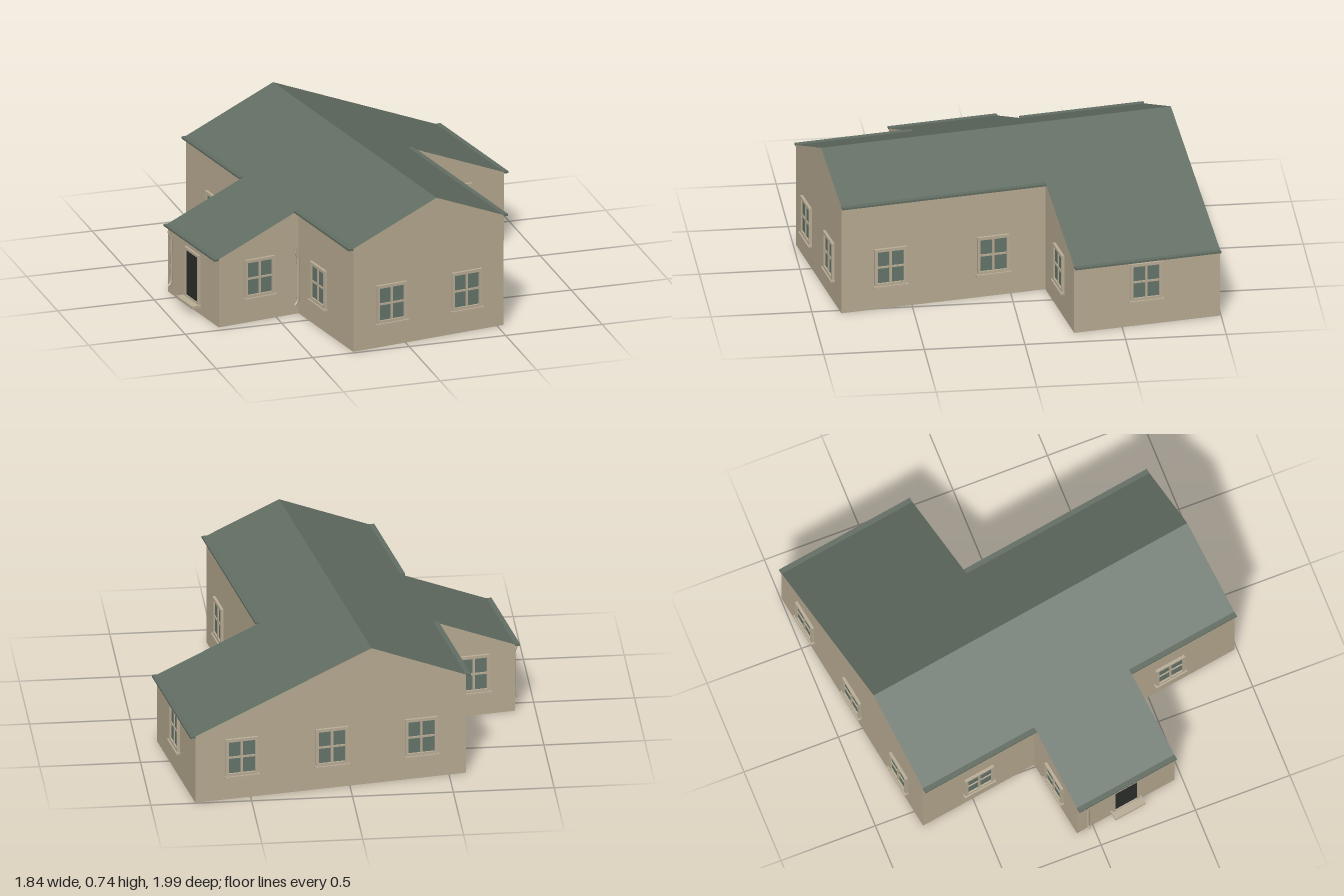
import * as THREE from 'three';

const mat = (name, color, side = THREE.FrontSide) => {
  const m = new THREE.MeshStandardMaterial({ color, side });
  m.name = name;
  return m;
};

// Plan and roof constants, in the house's own axes
const RIDGE_X = 0.025, RIDGE_Y = 0.735, SLOPE = 0.417;
const FRONT = 0.93, BACK = -0.862;
const roofY = (x) => RIDGE_Y - Math.abs(x - RIDGE_X) * SLOPE;

// Geometry from a list of four-cornered faces
function quads(faces) {
  const pos = faces.flatMap(([a, b, c, d]) => [a, b, c, a, c, d].flat());
  const g = new THREE.BufferGeometry();
  g.setAttribute('position', new THREE.Float32BufferAttribute(pos, 3));
  g.computeVertexNormals();
  return g;
}

export function createModel() {
  const wallMat = mat('wall plaster', 0xb8ab92, THREE.DoubleSide);
  const roofMat = mat('roof green', 0x626e63, THREE.DoubleSide);
  const trimMat = mat('trim beige', 0xbaae96);
  const glassMat = mat('window glass', 0x66766c);
  const doorMat = mat('door dark', 0x2c2f2c);

  const house = new THREE.Group();
  house.name = 'house';
  const add = (parent, name, geometry, material, x = 0, y = 0, z = 0) => {
    const m = new THREE.Mesh(geometry, material);
    m.name = name;
    m.position.set(x, y, z);
    parent.add(m);
    return m;
  };
  const box = (parent, name, material, w, h, d, x, y, z) =>
    add(parent, name, new THREE.BoxGeometry(w, h, d), material, x, y, z);

  // Outer walls follow the cross-shaped plan up to the roof slope
  const plan = [
    [-0.435, FRONT], [RIDGE_X, FRONT], [0.395, FRONT], [0.395, -0.115],
    [0.924, -0.115], [0.924, BACK], [RIDGE_X, BACK], [-0.457, BACK],
    [-0.457, -0.227], [-0.875, -0.227], [-0.875, 0.33], [-0.435, 0.33],
  ];
  add(house, 'walls', quads(plan.map(([x, z], i) => {
    const [x2, z2] = plan[(i + 1) % plan.length];
    return [[x, 0, z], [x2, 0, z2], [x2, roofY(x2), z2], [x, roofY(x), z]];
  })), wallMat);

  // Roof strips from ridge to eave: eave x, back z, front z
  const strips = [
    [-0.435, 0.33, FRONT], [-0.875, -0.227, 0.33], [-0.457, BACK, -0.227],
    [0.395, -0.115, FRONT], [0.924, BACK, -0.115],
  ];
  add(house, 'roof', quads(strips.map(([x, z0, z1]) => {
    const l = Math.min(x, RIDGE_X), r = Math.max(x, RIDGE_X);
    return [[l, roofY(l), z1], [r, roofY(r), z1], [r, roofY(r), z0], [l, roofY(l), z0]];
  })), roofMat);

  // Flat gutters along the eaves
  for (const [x, z0, z1] of strips) {
    box(house, 'gutter', roofMat, 0.026, 0.01, z1 - z0,
      x + Math.sign(x) * 0.012, roofY(x) - 0.004, (z0 + z1) / 2);
  }

  // Rectangular surround made of four bars
  function surround(g, w, h, bar, d) {
    for (const s of [-1, 1]) {
      box(g, 'frameSide', trimMat, bar, h, d, s * (w - bar) / 2, 0, d / 2);
      box(g, 'frameRail', trimMat, w - 2 * bar, bar, d, 0, s * (h - bar) / 2, d / 2);
    }
  }

  // Four-pane window with a sill
  function addWindow(x, z, turn, y = 0.228) {
    const g = new THREE.Group();
    g.name = 'window';
    g.position.set(x, y, z);
    g.rotation.y = turn;
    const w = 0.164, h = 0.2;
    box(g, 'glass', glassMat, w - 0.01, h - 0.01, 0.004, 0, 0, 0.003);
    surround(g, w, h, 0.015, 0.014);
    box(g, 'mullion', trimMat, 0.012, h - 0.03, 0.006, 0, 0, 0.007);
    box(g, 'crossbar', trimMat, w - 0.03, 0.01, 0.006, 0, 0, 0.007);
    box(g, 'sill', trimMat, 0.178, 0.01, 0.022, 0, -h / 2 - 0.004, 0.011);
    house.add(g);
  }
  const Q = Math.PI / 2;
  addWindow(-0.227, FRONT, 0);
  addWindow(0.188, FRONT, 0, 0.224);
  addWindow(0.661, -0.115, 0, 0.238);
  addWindow(-0.654, 0.33, 0, 0.232);
  for (const x of [-0.227, 0.229, 0.689]) addWindow(x, BACK, Math.PI);
  addWindow(-0.661, -0.227, Math.PI);
  addWindow(0.395, 0.68, Q);
  addWindow(0.395, 0.153, Q);
  addWindow(0.924, -0.482, Q, 0.24);
  addWindow(-0.435, 0.56, -Q);
  addWindow(-0.457, -0.545, -Q);

  // Entrance door with a step
  const door = new THREE.Group();
  door.name = 'door';
  door.position.set(-0.875, 0.178, 0.05);
  door.rotation.y = -Q;
  box(door, 'doorPanel', doorMat, 0.13, 0.255, 0.006, 0, 0, 0.003);
  surround(door, 0.155, 0.265, 0.014, 0.012);
  box(door, 'step', trimMat, 0.172, 0.014, 0.05, 0, -0.133, 0.025);
  house.add(door);

  // Downpipes with bent ends
  for (const [x, z] of [[-0.875, -0.17], [-0.435, 0.345]]) {
    const path = new THREE.CatmullRomCurve3([
      [-0.024, 0.345], [-0.022, 0.325], [-0.011, 0.3], [-0.01, 0.27],
      [-0.01, 0.09], [-0.012, 0.07], [-0.026, 0.052],
    ].map(([dx, y]) => new THREE.Vector3(x + dx, y, z)));
    add(house, 'downpipe', new THREE.TubeGeometry(path, 24, 0.007, 8), trimMat);
  }

  // The house stands slightly turned
  house.rotation.y = 0.156;
  const model = new THREE.Group();
  model.name = 'model';
  model.add(house);
  return model;
}
